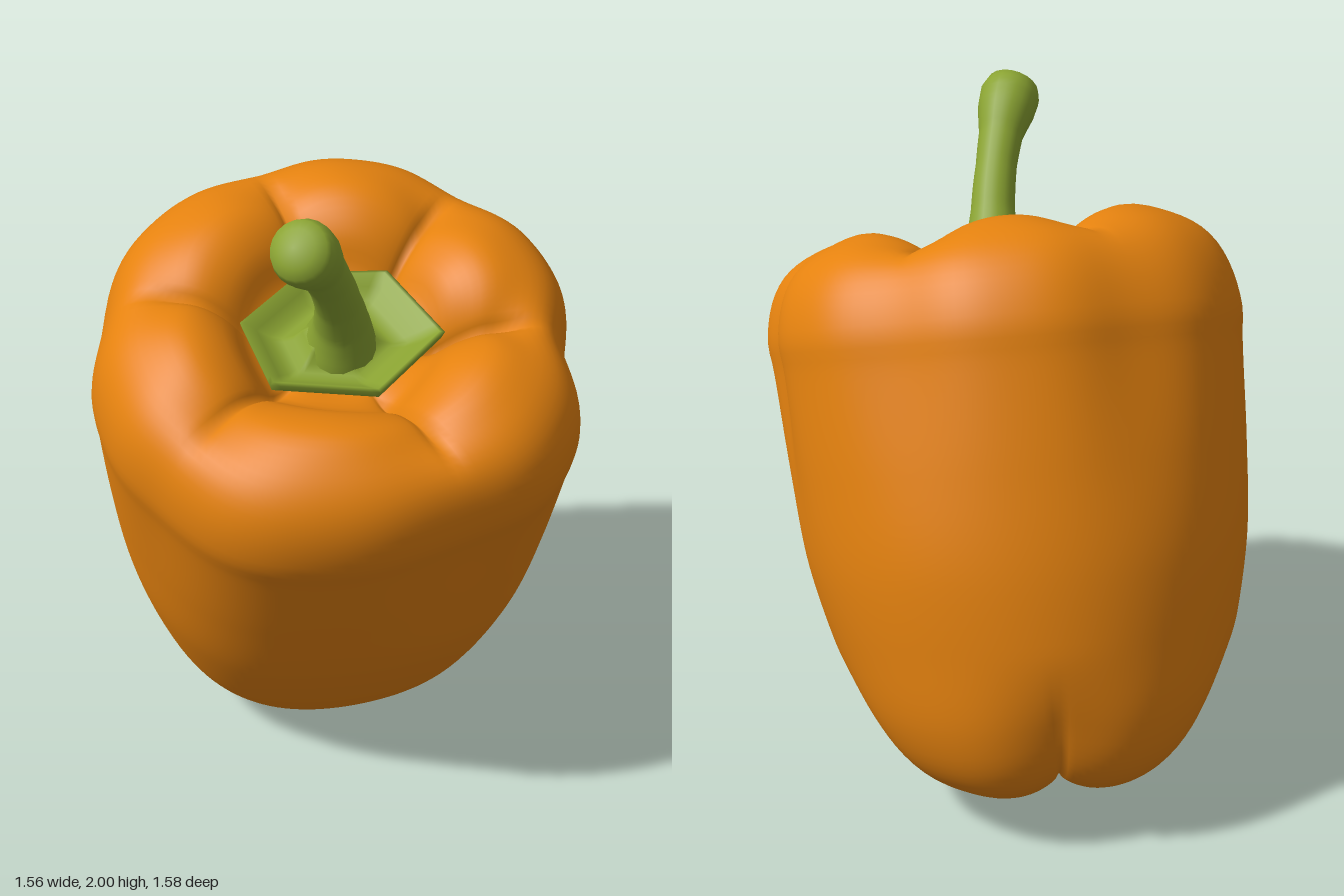
import * as THREE from 'three';
import { mergeVertices } from 'three/addons/utils/BufferGeometryUtils.js';

const { smoothstep, lerp, degToRad } = THREE.MathUtils;

// The fruit leans forward and to its left: local y runs along this axis.
const CENTRE = new THREE.Vector3(-0.065, 0.86, -0.085);
const AXIS = new THREE.Vector3(0.23, 1, 0.32).normalize();
const LEAN = new THREE.Quaternion().setFromUnitVectors(new THREE.Vector3(0, 1, 0), AXIS);
const DRIFT = new THREE.Vector3(0.04, 0, 0.015); // extra sideways shift per unit of height

// Creases in degrees from +x towards +z, with their depths.
const TOP = { angles: [-35, 25, 100, 155, 215, 270], depths: [1.3, 0.8, 0.7, 0.8, 0.8, 0.9] };
const BOTTOM = { angles: [-20, 160, 240], depths: [0.9, 1, 0.9] };
const CALYX_RADII = [0.32, 0.25, 0.26, 0.27, 0.25, 0.29];

// Finds the sector holding an angle and the position u (0..1) inside it.
function sector(angles, deg) {
  const a = ((deg - angles[0]) % 360 + 360) % 360 + angles[0];
  let i = angles.length - 1;
  while (a < angles[i]) i--;
  const next = (i + 1) % angles.length;
  const end = next === 0 ? angles[0] + 360 : angles[next];
  return { i, next, u: (a - angles[i]) / (end - angles[i]), span: end - angles[i] };
}

// Crease strength at an angle: a sharp fold and a soft, rounded hollow.
function crease({ angles, depths }, deg) {
  const { i, next, u, span } = sector(angles, deg);
  const distance = Math.min(u, 1 - u) * span;
  const s = Math.sin((Math.PI / 2) * Math.min(1, distance / Math.min(40, span / 2)));
  const depth = lerp(depths[i], depths[next], u);
  return { sharp: depth * (1 - Math.pow(s, 0.6)), soft: depth * (1 - s * s) ** 2 };
}

function smooth(geometry) {
  geometry.deleteAttribute('uv');
  geometry.deleteAttribute('normal');
  const merged = mergeVertices(geometry, 1e-5);
  merged.computeVertexNormals();
  return merged;
}

// Lathe whose radius and height are reshaped by a rule, then leaned into place.
function leaningLathe(points, segments, rule) {
  const geometry = new THREE.LatheGeometry(points, segments);
  const pos = geometry.attributes.position;
  for (let k = 0; k < pos.count; k++) {
    const step = Math.floor(k / points.length) % segments;
    const deg = 90 - (step * 360) / segments;
    const p = points[k % points.length];
    const [r, h] = rule(deg, p.x, p.y);
    const t = degToRad(deg);
    const v = new THREE.Vector3(r * Math.cos(t), h, r * Math.sin(t));
    v.applyQuaternion(LEAN).add(CENTRE).addScaledVector(DRIFT, h);
    pos.setXYZ(k, v.x, v.y, v.z);
  }
  return smooth(geometry);
}

const vec2s = (list) => list.map(([x, y]) => new THREE.Vector2(x, y));

function fruitGeometry() {
  const profile = new THREE.SplineCurve(vec2s([
    [0, -0.73], [0.10, -0.755], [0.21, -0.805], [0.32, -0.80], [0.42, -0.752], [0.515, -0.65],
    [0.588, -0.5], [0.667, -0.2], [0.705, 0.1], [0.73, 0.4], [0.74, 0.5], [0.715, 0.61],
    [0.66, 0.695], [0.57, 0.755], [0.45, 0.785], [0.33, 0.735], [0.24, 0.635], [0.10, 0.585], [0, 0.58],
  ])).getSpacedPoints(90);
  profile[0].x = profile[90].x = 0;

  return leaningLathe(profile, 144, (deg, r, h) => {
    const top = crease(TOP, deg);
    const bottom = crease(BOTTOM, deg);
    const outer = smoothstep(r, 0.3, 0.6);
    // The side towards the front left is a little flattened.
    const facing = (1 - Math.cos(degToRad(deg - 225))) / 2;
    const flat = 0.06 * facing * Math.sin(degToRad(2 * deg)) ** 2;
    const radius = r * (1 - flat * outer)
      - outer * 0.04 * top.soft * smoothstep(h, -0.2, 0.6)
      - outer * 0.04 * bottom.soft * smoothstep(-h, 0.4, 0.72);

    // Folds run from the stalk hollow over the crest and fade on the shoulder.
    const fold = smoothstep(r, 0.14, 0.32) * (1 - smoothstep(r, 0.45, 0.7)) * smoothstep(h, 0.3, 0.6);
    const rise = Math.max(0, Math.cos(degToRad(deg - 180))) * smoothstep(r, 0.15, 0.4) * smoothstep(h, 0.4, 0.75);
    const under = smoothstep(r, 0.03, 0.2) * smoothstep(-h, 0.4, 0.75);
    const hang = Math.max(0, Math.cos(degToRad(deg - 245)));
    const height = h - 0.11 * top.sharp * fold + 0.03 * rise
      + under * (0.09 * bottom.sharp - 0.065 * hang);
    return [radius, height];
  });
}

// Six-cornered dished cap with a corner in every crease.
function calyxGeometry() {
  const profile = vec2s([
    [0.97, 0.64], [1, 0.668], [0.95, 0.672], [0.82, 0.645], [0.68, 0.622],
    [0.54, 0.618], [0.43, 0.632], [0.34, 0.665], [0.2, 0.7], [0, 0.7],
  ]);
  return leaningLathe(profile, 72, (deg, k, h) => {
    const { i, next, u, span } = sector(TOP.angles, deg);
    const [a, b] = [CALYX_RADII[i], CALYX_RADII[next]];
    const s = degToRad(span);
    // Straight edge between two corners, in polar form.
    const edge = (a * b * Math.sin(s)) / (a * Math.sin(u * s) + b * Math.sin((1 - u) * s));
    return [k * edge, h];
  });
}

// Curved stem: flared foot, slim neck, swollen blunt end.
function stemGeometry() {
  const path = new THREE.CatmullRomCurve3([
    [0.085, 1.42, 0.10], [0.12, 1.53, 0.14], [0.16, 1.68, 0.235],
    [0.19, 1.82, 0.355], [0.205, 1.905, 0.45], [0.213, 1.955, 0.52],
  ].map((p) => new THREE.Vector3(...p)));
  const radii = [
    [0, 0.12], [0.1, 0.098], [0.2, 0.08], [0.35, 0.067], [0.55, 0.063],
    [0.7, 0.068], [0.82, 0.088], [0.9, 0.092], [0.965, 0.078], [1, 0],
  ];
  const radiusAt = (t) => {
    const j = Math.max(1, radii.findIndex(([x]) => x >= t - 1e-9));
    const [[t0, r0], [t1, r1]] = [radii[j - 1], radii[j]];
    return lerp(r0, r1, (t - t0) / (t1 - t0));
  };
  const rings = 40, sides = 20;
  const geometry = new THREE.TubeGeometry(path, rings, 1, sides);
  const pos = geometry.attributes.position;
  for (let k = 0; k < pos.count; k++) {
    const t = Math.floor(k / (sides + 1)) / rings;
    const c = path.getPointAt(t);
    const v = new THREE.Vector3().fromBufferAttribute(pos, k).sub(c).multiplyScalar(radiusAt(t)).add(c);
    pos.setXYZ(k, v.x, v.y, v.z);
  }
  return smooth(geometry);
}

export function createModel() {
  const orange = new THREE.MeshStandardMaterial({ name: 'orange skin', color: 0xe5820f });
  const green = new THREE.MeshStandardMaterial({ name: 'green stalk', color: 0x8aa332, side: THREE.DoubleSide });

  const group = new THREE.Group();
  group.name = 'bellPepper';
  const add = (name, geometry, material) => {
    const mesh = new THREE.Mesh(geometry, material);
    mesh.name = name;
    group.add(mesh);
    return mesh;
  };
  add('fruit', fruitGeometry(), orange);
  add('calyx', calyxGeometry(), green).position.set(-0.016, 0.005, 0.01);
  add('stem', stemGeometry(), green);
  return group;
}
